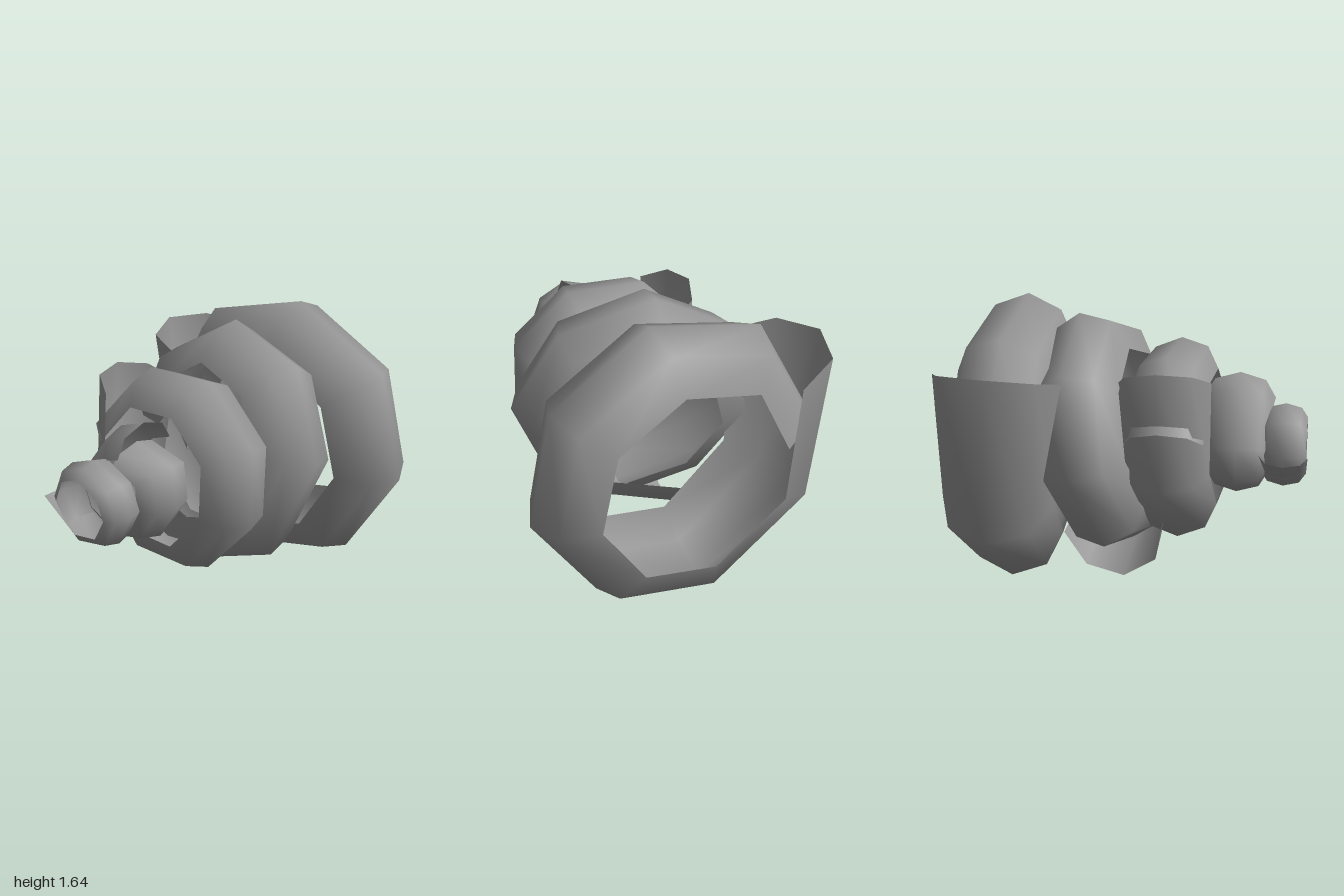
import * as THREE from 'three';

const CY = 0.86; // height of the common axis
const STEPS = 4; // facets across each band
const material = new THREE.MeshStandardMaterial({ color: 0x959595, side: THREE.DoubleSide });

// crest: [x, y] corners along the ridge, clockwise from the inner to the outer end.
// z, kx, ky: tilted plane holding the ridge; w: half-width of the coil and of its flared outer end;
// depth: bulge / half-width.
const bands = [
  { name: 'largestCoil', z: -0.665, kx: -0.07, ky: 0.05, w: [0.275, 0.36], depth: 1,
    crest: [[-0.76, 0.98], [-0.47, 1.5], [0.16, 1.65], [0.7, 1.32], [0.84, 0.7], [0.5, 0.15], [-0.13, 0.005], [-0.75, 0.46], [-0.845, 1.375]] },
  { name: 'secondCoil', z: -0.135, kx: 0.1, ky: -0.205, w: [0.24, 0.3], depth: 1,
    crest: [[0.08, 0.23], [-0.39, 0.35], [-0.66, 0.8], [-0.49, 1.32], [-0.03, 1.58], [0.48, 1.43], [0.72, 0.97], [0.5, 0.39], [-0.2, 0.1]] },
  { name: 'middleCoil', z: 0.27, kx: 0.03, ky: -0.06, w: [0.215, 0.255], depth: 0.85,
    crest: [[-0.52, 1.05], [-0.19, 1.39], [0.26, 1.41], [0.58, 1.12], [0.59, 0.69], [0.3, 0.36], [-0.13, 0.34], [-0.5, 0.72], [-0.47, 1.355]] },
  { name: 'fourthCoil', z: 0.61, kx: -0.06, ky: 0, w: [0.175, 0.2], depth: 0.7,
    crest: [[0.07, 1.14], [0.31, 1.06], [0.34, 0.83], [0.22, 0.64], [0, 0.59], [-0.2, 0.7], [-0.26, 0.92], [-0.04, 1.2], [0.12, 1.255]] },
  { name: 'tipCoil', z: 0.87, kx: -0.03, ky: 0, w: [0.12, 0.13], depth: 0.6,
    crest: [[-0.12, 0.72], [-0.21, 0.87], [-0.13, 1.05], [0.04, 1.11], [0.22, 1.02], [0.28, 0.86], [0.19, 0.69], [-0.02, 0.65], [-0.28, 0.84]] },
];

// Sweep an outward-bulging half-round section along the ridge
function coilGeometry({ crest, z, kx, ky, w, depth }) {
  const positions = [], index = [];
  const axis = new THREE.Vector3(-kx, -ky, 1).normalize();
  const path = crest.map(([x, y]) => new THREE.Vector3(x, y, z + kx * x + ky * (y - CY)));
  const centre = new THREE.Vector3(0, CY, z);
  const last = path.length - 1;
  path.forEach((p, i) => {
    const tangent = path[Math.min(i + 1, last)].clone().sub(path[Math.max(i - 1, 0)]);
    const inward = tangent.cross(axis).normalize()
      .add(centre.clone().sub(p).normalize()).normalize();
    const half = THREE.MathUtils.lerp(w[0], w[1], (i / last) ** 6);
    for (let j = 0; j <= STEPS; j++) {
      const t = (j / STEPS - 0.5) * Math.PI;
      const v = p.clone().addScaledVector(axis, half * Math.sin(t))
        .addScaledVector(inward, half * depth * (1 - Math.cos(t)));
      positions.push(v.x, v.y, v.z);
      if (i < last && j < STEPS) {
        const a = i * (STEPS + 1) + j, b = a + STEPS + 1;
        index.push(a, a + 1, b, b, a + 1, b + 1);
      }
    }
  });
  const geometry = new THREE.BufferGeometry();
  geometry.setAttribute('position', new THREE.Float32BufferAttribute(positions, 3));
  geometry.setIndex(index);
  geometry.computeVertexNormals();
  return geometry;
}

export function createModel() {
  const model = new THREE.Group();
  model.name = 'spiralShell';
  for (const band of bands) {
    const mesh = new THREE.Mesh(coilGeometry(band), material);
    mesh.name = band.name;
    model.add(mesh);
  }
  return model;
}
